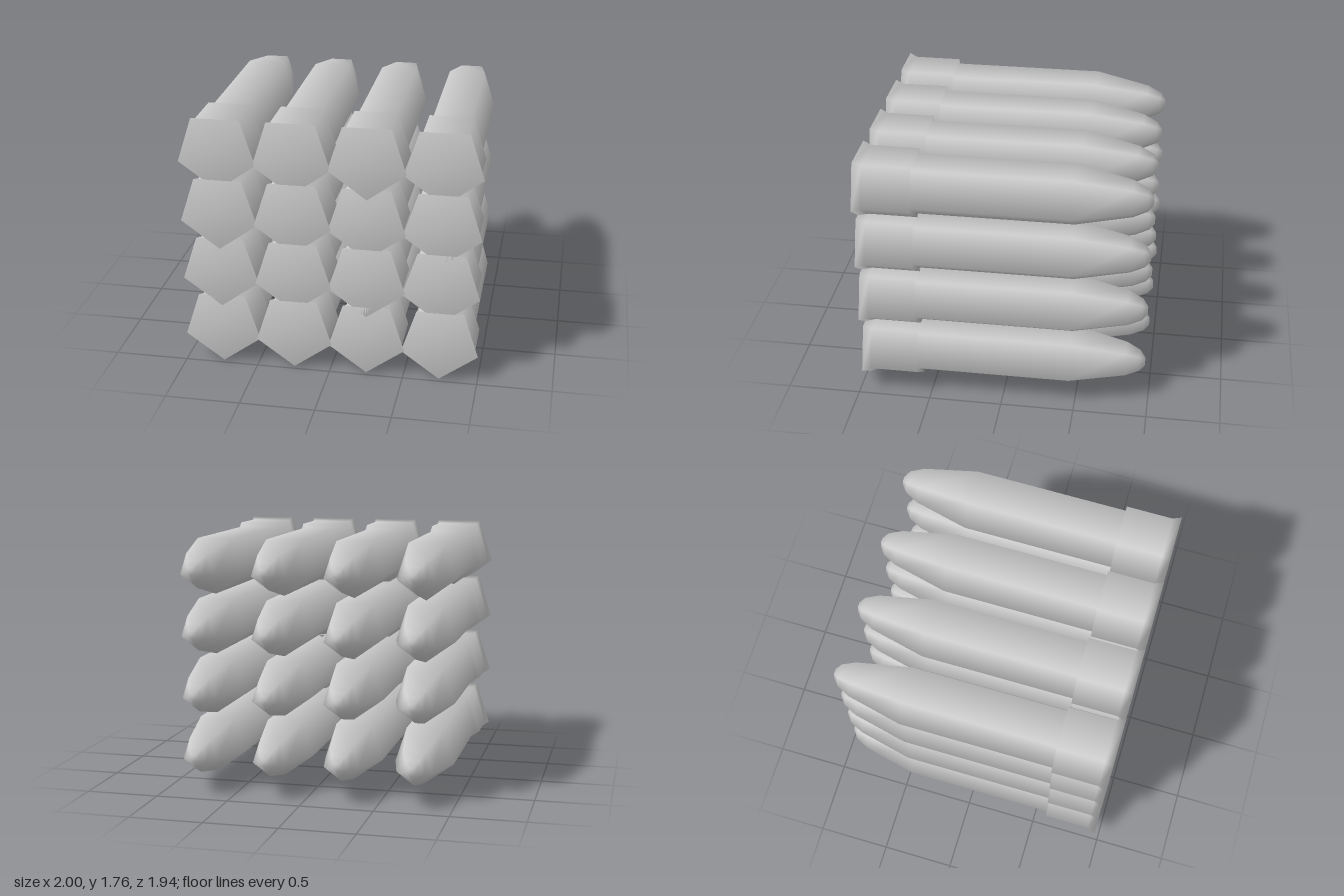
import * as THREE from 'three';

// Half-profile of one round as [radius, z], from the nose tip to the base
const PROFILE = [
  [0, -0.968], [0.03, -0.967], [0.08, -0.93], [0.128, -0.835], [0.213, -0.46], // nose
  [0.213, 0.59],                                                               // body
  [0.246, 0.59], [0.246, 0.91],                                                // collar
  [0.2715, 0.968], [0, 0.968],                                                 // flared base
];
const ROWS = 4, COLUMNS = 4;
const STEP_X = 0.4945, STEP_Y = 0.4215, FIRST_Y = 0.2715;

export function createModel() {
  const group = new THREE.Group();
  group.name = 'stackedRounds';
  const material = new THREE.MeshStandardMaterial({ color: 0xcccccc });

  // Five-sided round lying along z, one corner pointing down
  const points = PROFILE.map(([r, z]) => new THREE.Vector2(r, z));
  const geometry = new THREE.LatheGeometry(points, 5);
  geometry.rotateX(Math.PI / 2);

  // Grid of rounds
  for (let row = 0; row < ROWS; row++) {
    for (let col = 0; col < COLUMNS; col++) {
      const round = new THREE.Mesh(geometry, material);
      round.name = `roundRow${row + 1}Column${col + 1}`;
      round.position.set((col - (COLUMNS - 1) / 2) * STEP_X, FIRST_Y + row * STEP_Y, 0);
      group.add(round);
    }
  }
  return group;
}
